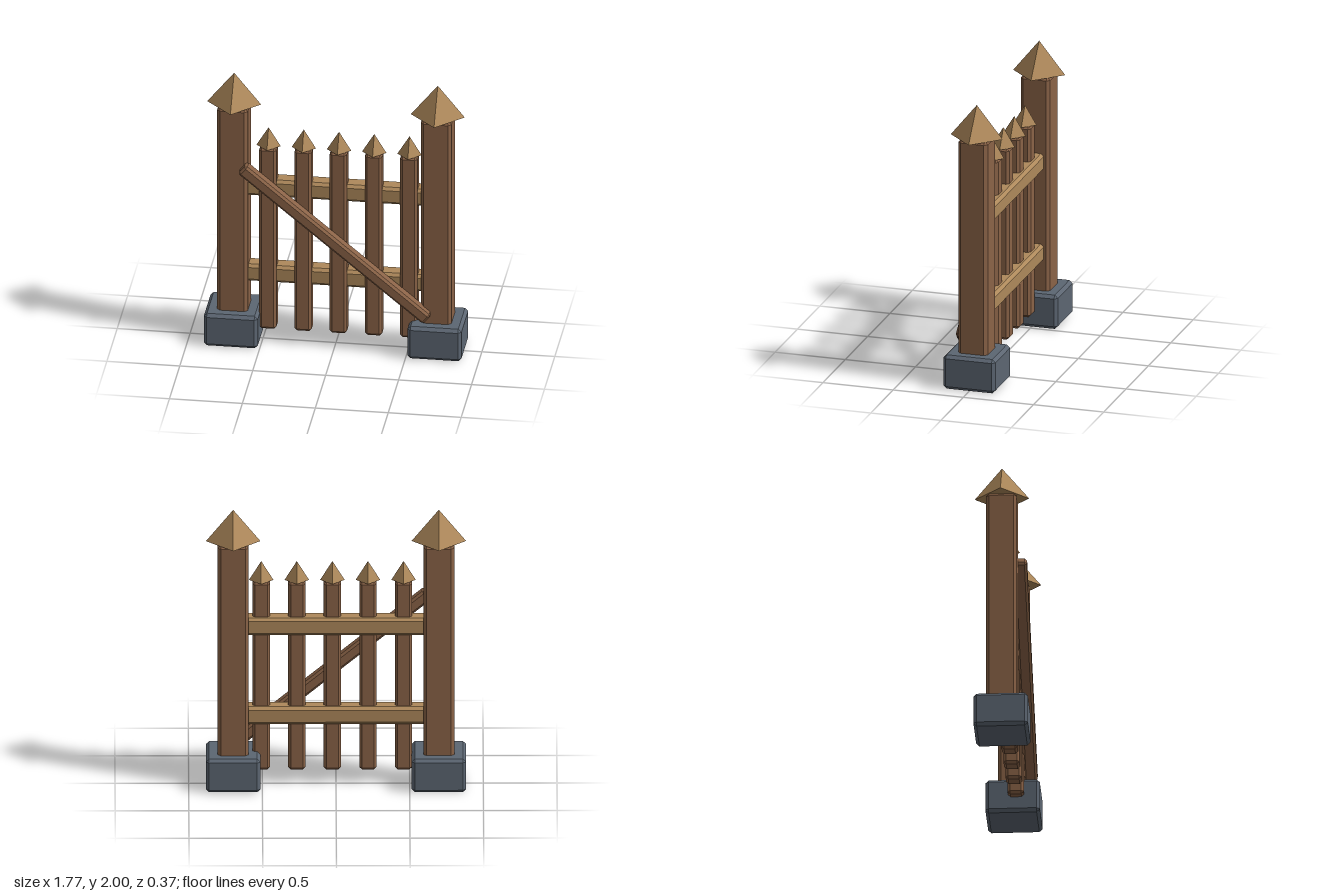
import * as THREE from 'three';
import { ConvexGeometry } from 'three/addons/geometries/ConvexGeometry.js';

const material = (name, color) => {
  const m = new THREE.MeshStandardMaterial({ color });
  m.name = name;
  return m;
};

// Box with every edge and corner cut by a flat chamfer c
function chamferBox(w, h, d, c) {
  const points = [];
  for (const sx of [-1, 1]) for (const sy of [-1, 1]) for (const sz of [-1, 1]) {
    const x = w / 2, y = h / 2, z = d / 2;
    points.push(
      new THREE.Vector3(sx * x, sy * (y - c), sz * (z - c)),
      new THREE.Vector3(sx * (x - c), sy * y, sz * (z - c)),
      new THREE.Vector3(sx * (x - c), sy * (y - c), sz * z));
  }
  return new ConvexGeometry(points);
}

// Four-sided point with its corners on the x and z axes
function pyramid(radius, height) {
  const g = new THREE.ConeGeometry(radius, height, 4).toNonIndexed();
  g.computeVertexNormals();
  return g;
}

export function createModel() {
  const wood = material('brown wood', 0x8a6347);
  const paleWood = material('pale wood', 0xae895b);
  const stone = material('grey stone', 0x5c6672);

  const model = new THREE.Group();
  model.name = 'gate';
  const add = (name, geometry, mat, x, y, z) => {
    const mesh = new THREE.Mesh(geometry, mat);
    mesh.name = name;
    mesh.position.set(x, y, z);
    model.add(mesh);
    return mesh;
  };

  // Gate posts on stone footings with pointed caps
  const footing = chamferBox(0.37, 0.243, 0.37, 0.022);
  const post = chamferBox(0.21, 1.595, 0.21, 0.022);
  const postCap = pyramid(0.185, 0.228);
  for (const [side, x] of [['right', -0.698], ['left', 0.698]]) {
    add(side + 'Footing', footing, stone, x, 0.1215, 0);
    add(side + 'Post', post, wood, x, 0.9775, 0);
    add(side + 'PostCap', postCap, paleWood, x, 1.886, 0);
  }

  // Pickets with pointed tips
  const picket = chamferBox(0.118, 1.373, 0.11, 0.018);
  const picketTip = pyramid(0.083, 0.137);
  for (let i = 0; i < 5; i++) {
    const x = -0.4585 + i * 0.2415;
    add('picket' + (i + 1), picket, wood, x, 0.7925, 0.025);
    add('picketTip' + (i + 1), picketTip, paleWood, x, 1.5465, 0.025);
  }

  // Cross rails between the posts
  const rail = chamferBox(1.3, 0.126, 0.126, 0.02);
  add('lowerRail', rail, paleWood, 0, 0.515, -0.002);
  add('upperRail', rail, paleWood, 0, 1.165, -0.002);

  // Diagonal brace across the front
  const brace = add('brace', chamferBox(1.65, 0.085, 0.092, 0.016), wood, 0.01, 0.818, 0.119);
  brace.rotation.z = -0.693;

  return model;
}
